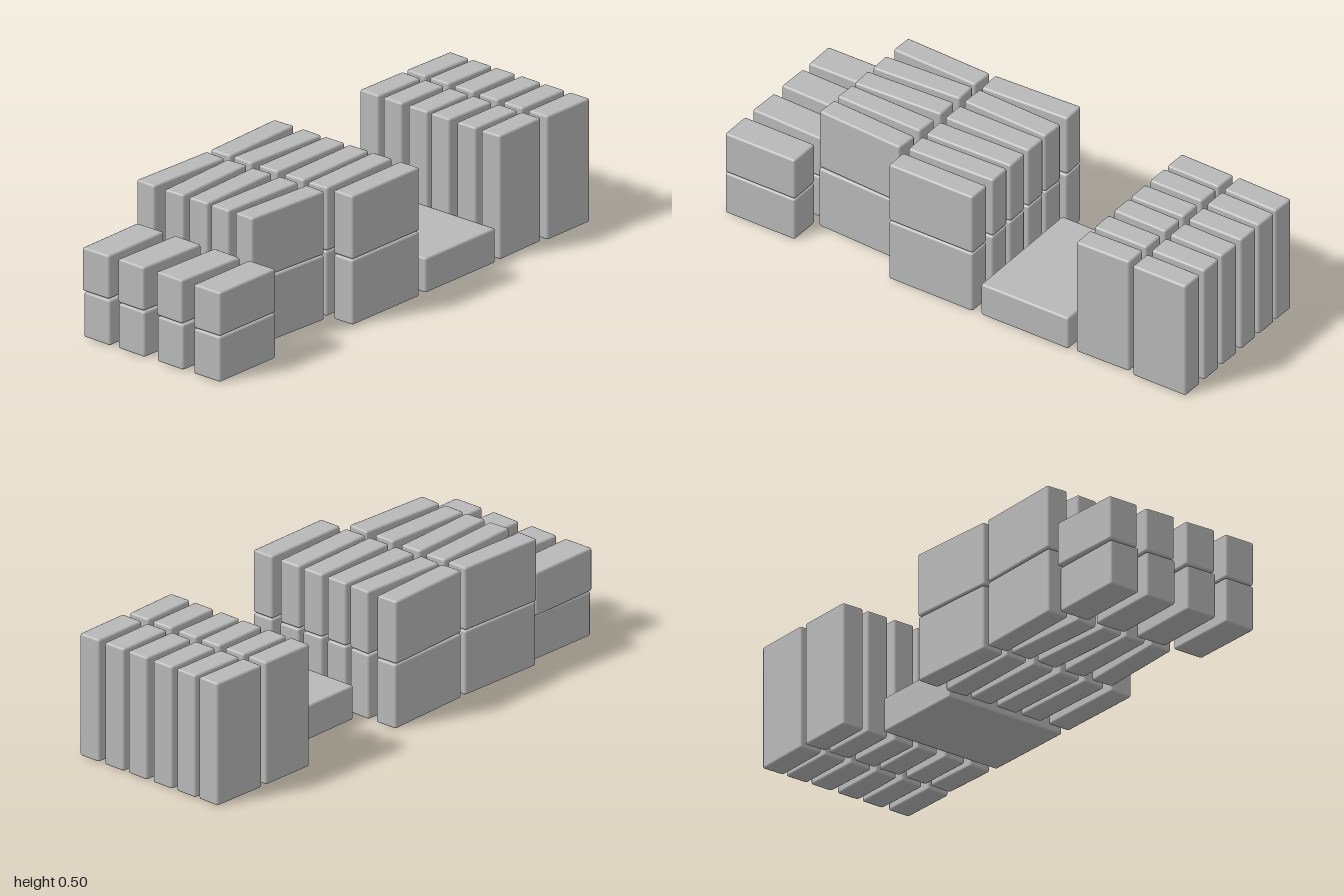
import * as THREE from 'three';
import { RoundedBoxGeometry } from 'three/addons/geometries/RoundedBoxGeometry.js';

const grey = new THREE.MeshStandardMaterial({ color: 0xb8b8b8 });
grey.name = 'plainGrey';

// Each row is [z, turn]; layers are [bottom, height, rows], all sharing one x.
const shortLower = [[-0.247, -0.02], [-0.083, -0.02], [0.1, -0.02], [0.27, 0]];
const shortUpper = [[-0.257, 0.01], [-0.085, -0.03], [0.098, -0.04], [0.27, 0]];
const leftLower = [[-0.293, -0.03], [-0.176, 0.04], [-0.06, 0.03], [0.055, -0.02], [0.176, -0.05]];
const leftUpper = [[-0.295, -0.04], [-0.176, 0.05], [-0.06, 0.04], [0.055, -0.03], [0.174, -0.065]];
const midLower = [[-0.293, 0.03], [-0.176, -0.03], [-0.06, 0], [0.057, 0.01], [0.168, 0.01], [0.293, 0]];
const midUpper = [[-0.294, 0.04], [-0.176, -0.045], [-0.061, -0.005], [0.057, 0.02], [0.168, 0.025], [0.293, 0]];
const tallInner = [[-0.285, -0.02], [-0.176, -0.01], [-0.058, 0.01], [0.05, -0.02], [0.172, 0], [0.285, 0.02]];
const tallOuter = [[-0.28, -0.03], [-0.172, -0.02], [-0.058, 0], [0.06, -0.02], [0.174, 0], [0.293, 0]];

const stacks = [
  { name: 'shortBox', x: -0.846, width: 0.302, depth: 0.126,
    layers: [[0, 0.174, shortLower], [0.177, 0.168, shortUpper]] },
  { name: 'wideBoxLeft', x: -0.492, width: 0.364, depth: 0.088,
    layers: [[0, 0.25, leftLower], [0.253, 0.244, leftUpper]] },
  { name: 'wideBoxMiddle', x: -0.104, width: 0.362, depth: 0.091,
    layers: [[0, 0.25, midLower], [0.253, 0.244, midUpper]] },
  { name: 'tallBoxInner', x: 0.633, width: 0.226, depth: 0.09,
    layers: [[0, 0.477, tallInner]] },
  { name: 'tallBoxOuter', x: 0.884, width: 0.229, depth: 0.092,
    layers: [[0, 0.477, tallOuter]] },
];

// Box with softened edges, standing on the given bottom height
function addBox(parent, name, size, x, bottom, z, turn = 0) {
  const box = new THREE.Mesh(new RoundedBoxGeometry(...size, 1, 0.008), grey);
  box.name = name;
  box.position.set(x, bottom + size[1] / 2, z);
  box.rotation.y = turn;
  parent.add(box);
}

export function createModel() {
  const model = new THREE.Group();
  model.name = 'boxStacks';

  // Rows of upright boxes, each nudged a little out of line
  for (const { name, x, width, depth, layers } of stacks) {
    const stack = new THREE.Group();
    stack.name = name + 'Stack';
    for (const [bottom, height, rows] of layers)
      for (const [z, turn] of rows)
        addBox(stack, name, [width, height, depth], x, bottom, z, turn);
    model.add(stack);
  }

  // Flat box lying in the gap
  addBox(model, 'flatBox', [0.378, 0.134, 0.512], 0.301, 0, 0.081);
  return model;
}
